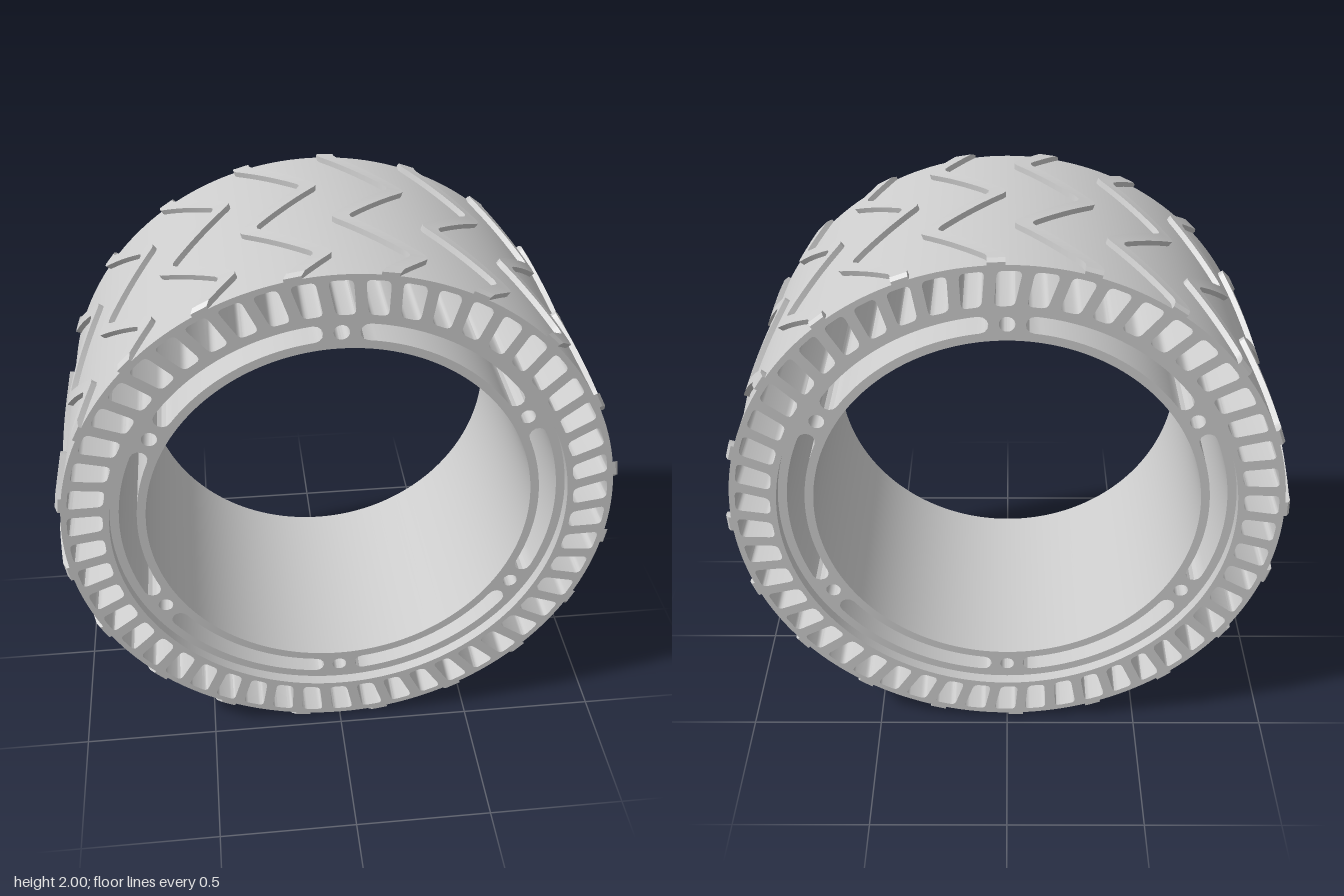
import * as THREE from 'three';
import { toCreasedNormals } from 'three/addons/utils/BufferGeometryUtils.js';

const TAU = Math.PI * 2, DEG = Math.PI / 180;
const HALF = 0.465;               // half width of the tyre
const polar = (r, a) => new THREE.Vector2(r * Math.cos(a), r * Math.sin(a));

// Polygon with every corner rounded by a short curve
function roundedPoints(corners, radius) {
  const out = [];
  corners.forEach((c, i) => {
    const n = corners.length;
    const toward = (p) => c.clone().add(p.clone().sub(c).setLength(radius));
    const curve = new THREE.QuadraticBezierCurve(
      toward(corners[(i + n - 1) % n]), c, toward(corners[(i + 1) % n]));
    out.push(...curve.getPoints(4));
  });
  return out;
}

// Ring with holes, extruded along z and centred on z = 0
function ring(inner, outer, halfWidth, holes) {
  const shape = new THREE.Shape().absarc(0, 0, outer, 0, TAU, false);
  shape.holes.push(new THREE.Path().absarc(0, 0, inner, 0, TAU, true));
  for (const pts of holes) shape.holes.push(new THREE.Path().setFromPoints([...pts, pts[0].clone()]));
  const geo = new THREE.ExtrudeGeometry(shape, { depth: halfWidth * 2, bevelEnabled: false, curveSegments: 96 });
  geo.translate(0, 0, -halfWidth);
  return toCreasedNormals(geo, 0.5);
}

// Curved slot with round ends, following the rim
function arcSlot(r, w, a0, a1) {
  const pts = [];
  const N = 24, M = 6;
  for (let i = 0; i <= N; i++) pts.push(polar(r + w, a0 + (a1 - a0) * i / N));
  for (let i = 1; i < M; i++) pts.push(polar(r, a1).add(polar(w, a1 + Math.PI * i / M)));
  for (let i = N; i >= 0; i--) pts.push(polar(r - w, a0 + (a1 - a0) * i / N));
  for (let i = 1; i < M; i++) pts.push(polar(r, a0).add(polar(w, a0 + Math.PI + Math.PI * i / M)));
  return pts;
}

// Zigzag tread rib: a four-sided section swept across the tyre width
function ribGeometry() {
  const steps = 64, pos = [], idx = [];
  const halfAngle = 1.7 * DEG;
  for (let i = 0; i <= steps; i++) {
    const z = -HALF + 2 * HALF * i / steps;
    const u = (Math.max(z, -0.44) - 0.08) / 0.26;
    const wave = 1 - Math.abs((((u % 2) + 2) % 2) - 1);
    const a = -12.8 * DEG * THREE.MathUtils.clamp(wave * 1.1 - 0.05, 0, 1) - 2 * DEG;
    const top = i === 0 || i === steps ? 0.99 : 1;
    for (const [r, s] of [[0.97, -1], [top, -1], [top, 1], [0.97, 1]]) {
      const p = polar(r, a + s * halfAngle);
      pos.push(p.x, p.y, z);
    }
  }
  for (let i = 0; i < steps; i++) {
    for (let j = 0; j < 4; j++) {
      const a = i * 4 + j, b = i * 4 + (j + 1) % 4;
      idx.push(a, b, b + 4, a, b + 4, a + 4);
    }
  }
  const e = steps * 4;
  idx.push(0, 2, 1, 0, 3, 2, e, e + 1, e + 2, e, e + 2, e + 3);
  const geo = new THREE.BufferGeometry();
  geo.setAttribute('position', new THREE.Float32BufferAttribute(pos, 3));
  geo.setIndex(idx);
  return toCreasedNormals(geo, 0.5);
}

export function createModel() {
  const model = new THREE.Group();
  model.name = 'airlessWheel';
  const grey = new THREE.MeshStandardMaterial({ color: 0xcccccc });
  const wheel = new THREE.Group();
  wheel.name = 'wheel';
  wheel.position.y = 1;
  model.add(wheel);
  const add = (name, geo, parent = wheel) => {
    const mesh = new THREE.Mesh(geo, grey);
    mesh.name = name;
    parent.add(mesh);
    return mesh;
  };

  // Tyre: slightly slanted openings leave a spoke between each pair
  const openings = [];
  const count = 50;
  for (let i = 0; i < count; i++) {
    const a = TAU * (i + 0.5) / count;
    const lean = 0.018;
    const corners = [[0.837, -0.033 - lean / 2], [0.96, -0.041 + lean / 2], [0.96, 0.041 + lean / 2], [0.837, 0.033 - lean / 2]]
      .map(([r, t]) => polar(r, a + t / r));
    openings.push(roundedPoints(corners, 0.02));
  }
  add('tyreBody', ring(0.815, 0.98, HALF, openings));

  // Rim: six bolt holes with a long slot between each pair, set in slightly
  const rimHoles = [];
  for (let i = 0; i < 6; i++) {
    const a = (30 + 60 * i) * DEG;
    const c = polar(0.75, a);
    rimHoles.push(Array.from({ length: 20 }, (_, k) => polar(0.027, TAU * k / 20).add(c)));
    rimHoles.push(arcSlot(0.752, 0.031, a + 7 * DEG, a + 53 * DEG));
  }
  add('rim', ring(0.69, 0.815, HALF - 0.04, rimHoles));

  // Tread ribs
  const tread = new THREE.Group();
  tread.name = 'tread';
  wheel.add(tread);
  const rib = ribGeometry();
  for (let i = 0; i < 20; i++) add('treadRib', rib, tread).rotation.z = TAU * i / 20;

  return model;
}
